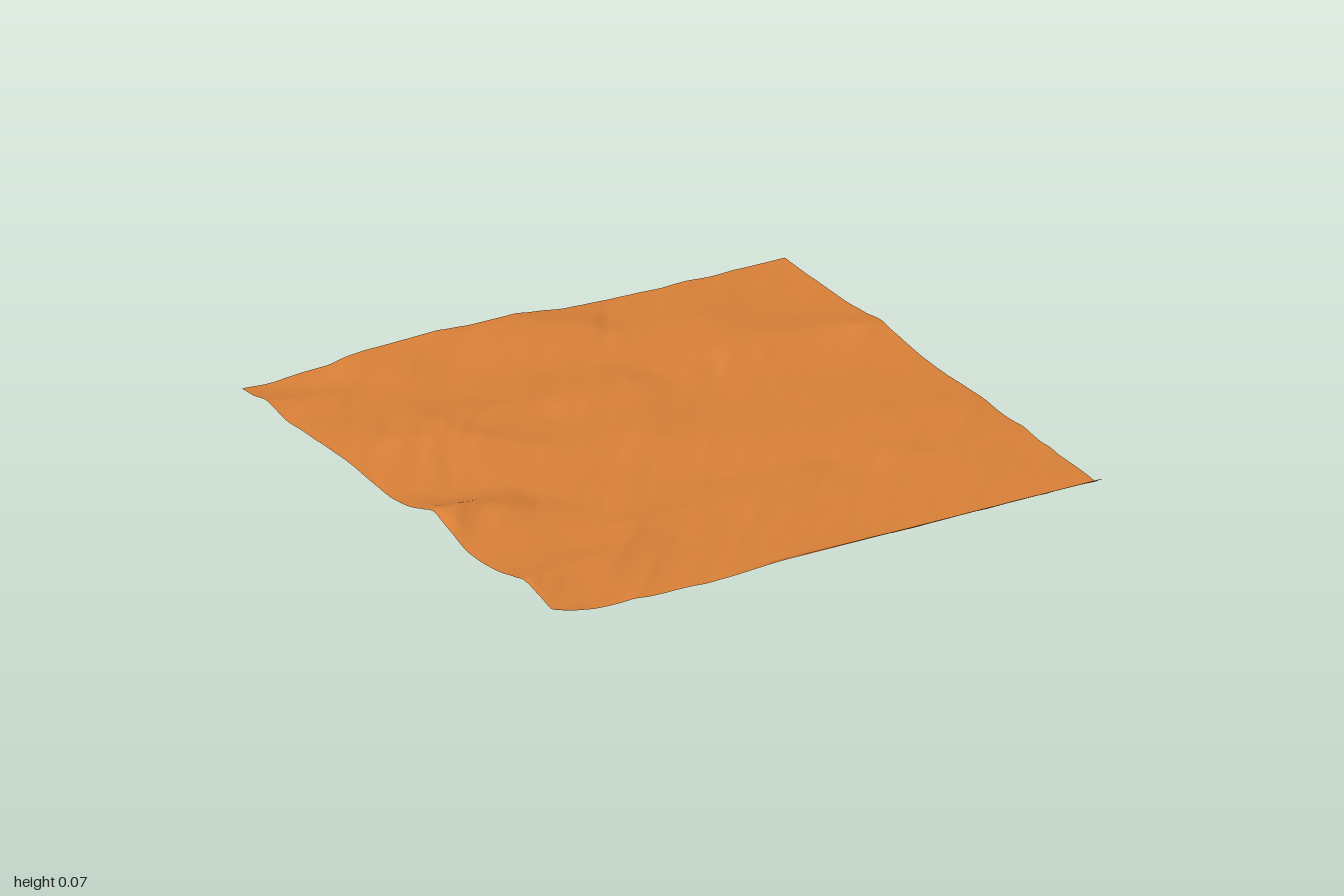
import * as THREE from 'three';

// Crest lines as [x, z, height]; steep = width of the +z flank, gentle = width of the -z flank
const ridges = [
  { pts: [[-1, 0.22, 0.075], [-0.95, 0.22, 0.085], [-0.8, 0.23, 0.065], [-0.65, 0.3, 0.035]], steep: 0.15, gentle: 0.17 },
  { pts: [[-1, 0.77, 0.074], [-0.85, 0.76, 0.068], [-0.6, 0.69, 0.055], [-0.45, 0.55, 0.052], [-0.2, 0.5, 0.045], [0.2, 0.47, 0.032]], steep: 0.22, gentle: 0.15 },
  { pts: [[-0.8, -0.36, 0.055], [-0.62, -0.35, 0.064], [-0.5, -0.2, 0.05], [-0.38, -0.09, 0.045], [-0.1, -0.08, 0.044], [0.03, 0.05, 0.035], [0.22, 0.1, 0.034], [0.5, 0.28, 0.03], [0.85, 0.24, 0.03]], steep: 0.24, gentle: 0.3 },
  { pts: [[-0.6, -0.4, 0.055], [-0.3, -0.42, 0.05], [0.05, -0.39, 0.04]], steep: 0.14, gentle: 0.2 },
  { pts: [[-0.6, -0.98, 0.05], [-0.35, -1, 0.058], [0, -0.94, 0.057], [0.2, -0.78, 0.04], [0.5, -0.7, 0.033]], steep: 0.25, gentle: 0.2 },
  { pts: [[-1, -0.83, 0.046], [-0.8, -0.8, 0.04], [-0.65, -0.76, 0.032]], steep: 0.13, gentle: 0.16 },
  { pts: [[0.3, -0.44, 0.03], [0.55, -0.51, 0.045], [0.75, -0.45, 0.04], [1, -0.36, 0.04]], steep: 0.18, gentle: 0.2 },
  { pts: [[0.5, 0.4, 0.03], [0.65, 0.55, 0.032], [1, 0.5, 0.03]], steep: 0.22, gentle: 0.15 },
  { pts: [[-1, 1, 0.06], [-0.93, 0.99, 0.04]], steep: 0.06, gentle: 0.08 },
];

const hash = (i, j) => {
  const s = Math.sin(i * 127.1 + j * 311.7) * 43758.5453;
  return s - Math.floor(s);
};
const ease = (t) => t * t * (3 - 2 * t);

// Smooth value noise in -1..1
function noise(x, y) {
  const i = Math.floor(x), j = Math.floor(y);
  const u = ease(x - i), v = ease(y - j);
  const a = THREE.MathUtils.lerp(hash(i, j), hash(i + 1, j), u);
  const b = THREE.MathUtils.lerp(hash(i, j + 1), hash(i + 1, j + 1), u);
  return 2 * THREE.MathUtils.lerp(a, b, v) - 1;
}

// Height of one crest at a point: nearest place on its line, faded by the flank width
function crest({ pts, steep, gentle }, x, z, floor) {
  let best = 0;
  for (let k = 0; k < pts.length - 1; k++) {
    const [ax, az, ah] = pts[k], [bx, bz, bh] = pts[k + 1];
    const dx = bx - ax, dz = bz - az;
    const t = THREE.MathUtils.clamp(((x - ax) * dx + (z - az) * dz) / (dx * dx + dz * dz), 0, 1);
    const ox = x - ax - t * dx, oz = z - az - t * dz;
    const d = Math.hypot(ox, oz);
    const side = d > 0 ? 0.5 + 0.5 * oz / d : 0.5;
    const f = d / THREE.MathUtils.lerp(gentle, steep, side);
    best = Math.max(best, (ah + t * (bh - ah) - floor) * Math.exp(-1.5 * Math.pow(f, 1.5)));
  }
  return best;
}

function height(px, pz) {
  // Gentle warp so the crests wander
  const x = px + 0.025 * noise(px * 6 + 3, pz * 6), z = pz + 0.025 * noise(px * 6, pz * 6 + 9);
  const floor = 0.018 - 0.002 * px;
  let power = 0;
  for (const r of ridges) power += Math.pow(crest(r, x, z, floor), 4);
  const rise = Math.pow(power, 0.25);
  // Diagonal spurs and gullies, strongest on the slopes
  const along = (x + z) * 0.7, across = (x - z) * 0.7;
  const spurs = noise(along * 15, across * 4) + 0.45 * noise(along * 30 + 7, across * 9);
  let y = floor + rise + spurs * (0.0025 + 0.05 * Math.min(rise, 0.05)) + 0.004 * noise(px * 3.5, pz * 3.5 + 20);
  // Upturned lip along the front edge
  const lip = ease(THREE.MathUtils.clamp((pz - 0.955) / 0.045, 0, 1)) * ease(THREE.MathUtils.clamp((px + 0.45) / 0.3, 0, 1));
  y = THREE.MathUtils.lerp(y, 0.034 + 0.008 * px, lip);
  return y;
}

export function createModel() {
  const group = new THREE.Group();
  group.name = 'landscape';

  // Single open sheet of hills
  const geometry = new THREE.PlaneGeometry(2, 2, 160, 160).rotateX(-Math.PI / 2);
  const p = geometry.attributes.position;
  for (let i = 0; i < p.count; i++) p.setY(i, height(p.getX(i), p.getZ(i)));
  geometry.computeBoundingBox();
  geometry.translate(0, -geometry.boundingBox.min.y, 0);
  geometry.computeVertexNormals();

  const terrain = new THREE.Mesh(geometry, new THREE.MeshStandardMaterial({ color: 0xd98038, side: THREE.DoubleSide }));
  terrain.name = 'terrain';
  group.add(terrain);
  return group;
}
